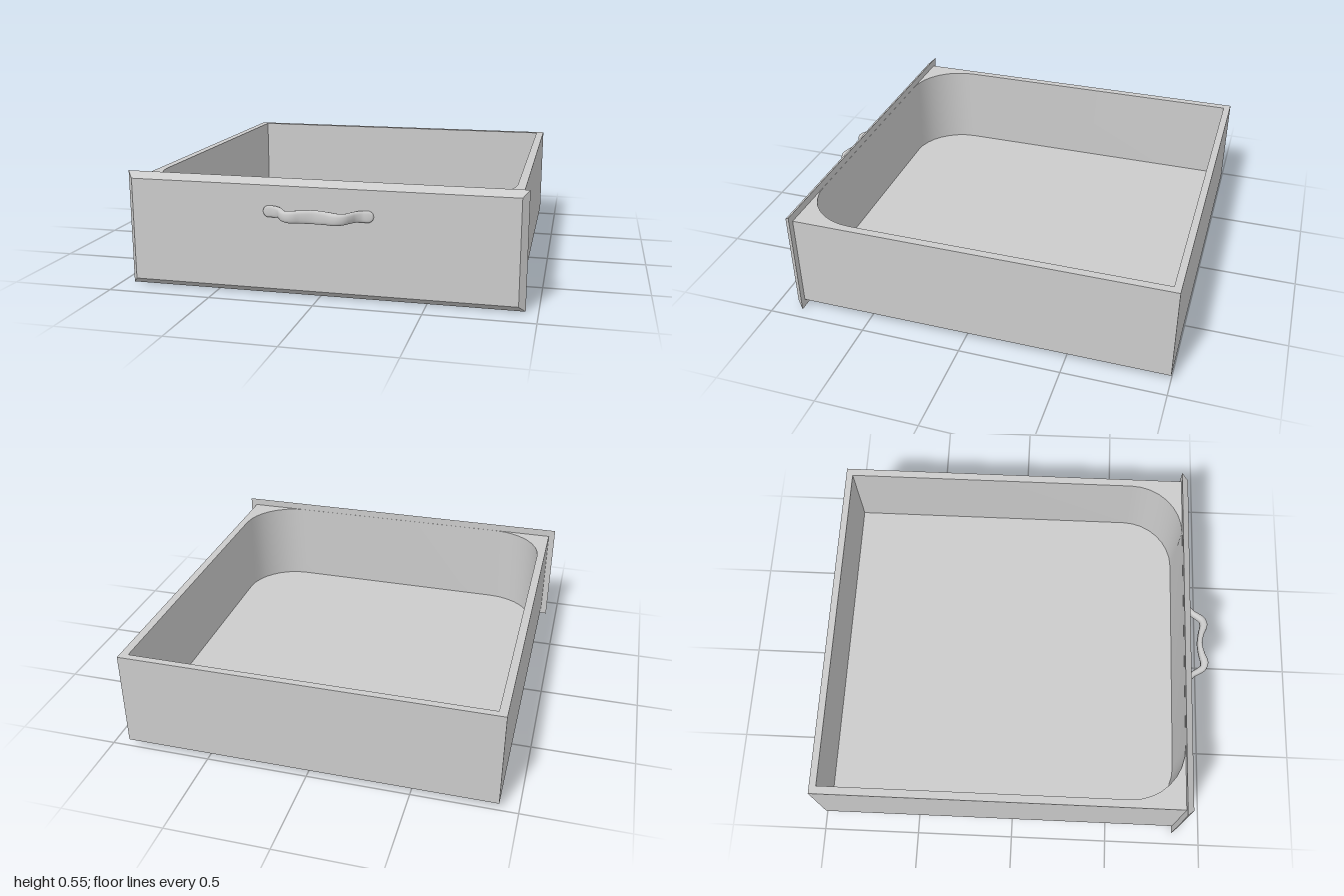
import * as THREE from 'three';
import { toCreasedNormals } from 'three/addons/utils/BufferGeometryUtils.js';

const material = new THREE.MeshStandardMaterial({ color: 0xcccccc });

function addMesh(group, name, geometry) {
  const mesh = new THREE.Mesh(geometry, material);
  mesh.name = name;
  group.add(mesh);
}

// Extrudes a plan outline, drawn as (x, -z), upwards from y0 to y1.
function extrudeUp(shape, y0, y1) {
  const geometry = new THREE.ExtrudeGeometry(shape, { depth: y1 - y0, bevelEnabled: false, curveSegments: 4 });
  geometry.rotateX(-Math.PI / 2).translate(0, y0, 0);
  return toCreasedNormals(geometry, 0.6);
}

function outline() {
  return new THREE.Shape([[-0.91, -0.86], [0.91, -0.86], [0.91, 1], [-0.91, 1]].map(p => new THREE.Vector2(...p)));
}

// Opening with square back corners and rounded front corners
function opening() {
  const x = 0.87, front = -0.855, back = 0.965, r = 0.275;
  const path = new THREE.Path();
  path.moveTo(-x, back);
  path.lineTo(-x, front + r);
  path.absarc(-x + r, front + r, r, Math.PI, Math.PI * 1.5, false);
  path.lineTo(x - r, front);
  path.absarc(x - r, front + r, r, -Math.PI / 2, 0, false);
  path.lineTo(x, back);
  path.closePath();
  return path;
}

// Panel whose front face is inset by the bevel on all four sides
function bevelledPanel(width, height, depth, bevel) {
  const geometry = new THREE.BoxGeometry(width, height, depth);
  const pos = geometry.attributes.position;
  for (let i = 0; i < pos.count; i++) {
    if (pos.getZ(i) > 0) {
      pos.setX(i, pos.getX(i) - Math.sign(pos.getX(i)) * bevel);
      pos.setY(i, pos.getY(i) - Math.sign(pos.getY(i)) * bevel);
    }
  }
  geometry.computeVertexNormals();
  return geometry;
}

// Curved strap swept through stations of x, z, half thickness, half height
function handleGeometry(y) {
  const half = [
    [0.261, 0.895, 0.0005, 0.0005], [0.254, 0.895, 0.008, 0.018], [0.235, 0.896, 0.010, 0.028],
    [0.205, 0.898, 0.011, 0.027], [0.175, 0.917, 0.014, 0.025], [0.155, 0.947, 0.016, 0.024],
    [0.135, 0.972, 0.018, 0.025], [0.105, 0.980, 0.020, 0.028], [0.06, 0.967, 0.016, 0.030],
  ];
  const mirrored = half.map(([x, ...rest]) => [-x, ...rest]).reverse();
  const stations = [...half, [0, 0.957, 0.013, 0.032], ...mirrored];
  const path = new THREE.CatmullRomCurve3(stations.map(s => new THREE.Vector3(s[0], y, s[1])));
  const size = new THREE.CatmullRomCurve3(stations.map(s => new THREE.Vector3(s[2], s[3], 0)));
  const steps = 72, sides = 16, positions = [], index = [];
  const up = new THREE.Vector3(0, 1, 0);
  const rounded = v => Math.sign(v) * Math.abs(v) ** 0.75;

  for (let i = 0; i <= steps; i++) {
    const t = i / steps;
    const centre = path.getPoint(t), s = size.getPoint(t);
    const normal = up.clone().cross(path.getTangent(t)).normalize();
    for (let j = 0; j < sides; j++) {
      const a = j / sides * Math.PI * 2;
      const p = centre.clone()
        .addScaledVector(normal, s.x * rounded(Math.cos(a)))
        .addScaledVector(up, s.y * rounded(Math.sin(a)));
      positions.push(p.x, p.y, p.z);
      if (i < steps) {
        const k = (j + 1) % sides;
        const A = i * sides + j, B = i * sides + k;
        index.push(A, B, A + sides, B, B + sides, A + sides);
      }
    }
  }
  const geometry = new THREE.BufferGeometry();
  geometry.setAttribute('position', new THREE.Float32BufferAttribute(positions, 3));
  geometry.setIndex(index);
  geometry.computeVertexNormals();
  return geometry;
}

export function createModel() {
  const group = new THREE.Group();
  group.name = 'drawer';

  // Tray
  addMesh(group, 'trayFloor', extrudeUp(outline(), 0.038, 0.078));
  const walls = outline();
  walls.holes.push(opening());
  addMesh(group, 'trayWalls', extrudeUp(walls, 0.078, 0.515));

  // Front panel
  addMesh(group, 'frontPanel', bevelledPanel(1.886, 0.553, 0.035, 0.03).translate(0, 0.2765, 0.8735));

  // Pull handle
  addMesh(group, 'handle', handleGeometry(0.402));

  return group;
}
